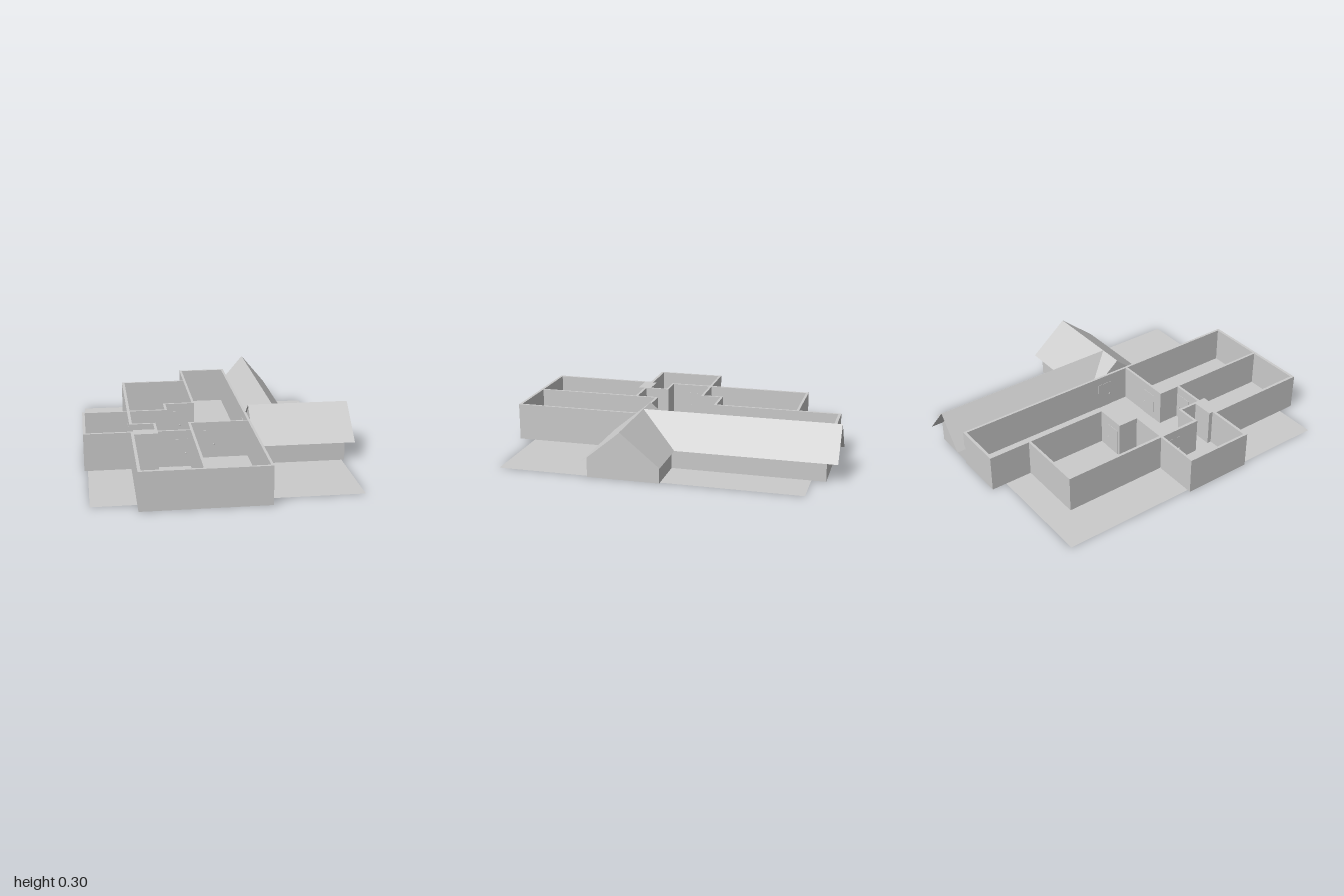
import * as THREE from 'three';

const WALL_H = 0.222;

export function createModel() {
  const house = new THREE.Group();
  house.name = 'house';
  const grey = new THREE.MeshStandardMaterial({ color: 0xcccccc, flatShading: true });
  const sheet = new THREE.MeshStandardMaterial({ color: 0xcccccc, flatShading: true, side: THREE.DoubleSide });

  function add(name, geometry, material = grey, parent = house) {
    const mesh = new THREE.Mesh(geometry, material);
    mesh.name = name;
    parent.add(mesh);
    return mesh;
  }

  // Box given by its extents on the plan
  function block(name, x0, x1, z0, z1, y0, y1, parent) {
    const g = new THREE.BoxGeometry(x1 - x0, y1 - y0, z1 - z0);
    g.translate((x0 + x1) / 2, (y0 + y1) / 2, (z0 + z1) / 2);
    return add(name, g, grey, parent);
  }

  // Flat sheet lying on the plan
  function slab(name, x0, x1, z0, z1, y) {
    const g = new THREE.PlaneGeometry(x1 - x0, z1 - z0).rotateX(-Math.PI / 2);
    g.translate((x0 + x1) / 2, y, (z0 + z1) / 2);
    return add(name, g, sheet);
  }

  // Plot and room floors
  slab('ground', -0.775, 0.715, -0.855, 0.905, 0);
  slab('bedroomFloor', -0.515, -0.11, -0.685, -0.05, 0.003);
  slab('hallFloor', -0.11, 0.185, -0.94, 0.22, 0.003);
  slab('corridorFloor', -0.515, -0.11, -0.05, 0.36, 0.003);
  slab('westRoomFloor', -0.79, -0.515, -0.05, 0.355, 0.003);
  slab('frontRoomsFloor', -0.515, 0.185, 0.36, 0.995, 0.003);
  slab('frontRoomEndFloor', -0.11, 0.185, 0.22, 0.36, 0.003);

  // Open-topped walls: x0, x1, z0, z1
  const walls = new THREE.Group();
  walls.name = 'walls';
  house.add(walls);
  const plan = [
    // outer
    [0.175, 0.19, -0.945, 1.0],
    [-0.115, 0.19, -0.945, -0.928],
    [-0.115, -0.1, -0.945, -0.165],
    [-0.525, -0.1, -0.69, -0.675],
    [-0.525, -0.508, -0.69, 0.215],
    [-0.795, -0.28, -0.055, -0.04],
    [-0.795, -0.78, -0.055, 0.362],
    [-0.795, -0.508, 0.345, 0.362],
    [-0.525, -0.508, 0.345, 1.0],
    [-0.525, 0.19, 0.983, 1.0],
    // inner
    [-0.295, -0.28, -0.18, -0.04],
    [-0.295, -0.1, -0.18, -0.165],
    [-0.525, -0.37, 0.2, 0.215],
    [-0.385, -0.37, 0.2, 0.4],
    [-0.51, -0.37, 0.32, 0.4],
    [-0.385, -0.165, 0.347, 0.362],
    [-0.18, -0.165, 0.215, 1.0],
    [-0.18, 0.19, 0.215, 0.23],
  ];
  for (const [x0, x1, z0, z1] of plan) block('wall', x0, x1, z0, z1, 0, WALL_H, walls);

  // Doors standing slightly proud of the walls, with a knob on each face
  function door(x, z, alongZ) {
    const d = new THREE.Group();
    d.name = 'door';
    block('doorPanel', -0.048, 0.048, -0.0095, 0.0095, 0.003, 0.17, d);
    for (const s of [-1, 1]) {
      const knob = add('doorKnob', new THREE.SphereGeometry(0.005, 10, 8), grey, d);
      knob.position.set(0.035, 0.085, s * 0.013);
    }
    d.position.set(x, 0, z);
    if (alongZ) d.rotation.y = -Math.PI / 2;
    house.add(d);
  }
  door(-0.225, -0.1725, false);
  door(-0.065, 0.2225, false);
  door(-0.245, 0.3545, false);
  door(-0.5165, 0.045, true);
  door(0.1825, 0.05, true);

  // Gabled wing bodies: pentagon section run along the wing
  function gableBody(name, a0, a1, eave, peak, length) {
    const s = new THREE.Shape();
    s.moveTo(a0, 0);
    s.lineTo(a1, 0);
    s.lineTo(a1, eave);
    s.lineTo((a0 + a1) / 2, peak);
    s.lineTo(a0, eave);
    s.closePath();
    return add(name, new THREE.ExtrudeGeometry(s, { depth: length, bevelEnabled: false }));
  }
  const backWing = gableBody('backWingWalls', 0.19, 0.47, 0.118, 0.286, 0.9);
  backWing.position.z = -0.937;
  const sideWing = gableBody('sideWingWalls', -0.368, 0.052, 0.114, 0.288, 0.54);
  sideWing.rotation.y = Math.PI / 2;
  sideWing.position.x = 0.191;

  // Thin roof slopes, each from four corners
  function slope(name, a, b, c, d) {
    const g = new THREE.BufferGeometry();
    g.setAttribute('position', new THREE.Float32BufferAttribute([...a, ...b, ...c, ...d], 3));
    g.setIndex([0, 1, 2, 0, 2, 3]);
    g.computeVertexNormals();
    add(name, g, sheet);
  }
  const E = 0.11, R = 0.297, RX = 0.331, RZ = 0.155;
  slope('sideRoofFront', [0.187, E, 0.38], [0.79, E, 0.38], [0.79, R, RZ], [0.187, R, RZ]);
  slope('sideRoofBack', [0.79, E, -0.072], [0.187, E, -0.072], [0.187, R, RZ], [0.79, R, RZ]);
  slope('backRoofRight', [0.487, E, -0.072], [0.487, E, -1], [RX, R, -1], [RX, R, RZ]);
  slope('backRoofLeft', [0.175, E, -1], [0.175, E, -0.072], [RX, R, RZ], [RX, R, -1]);

  return house;
}
